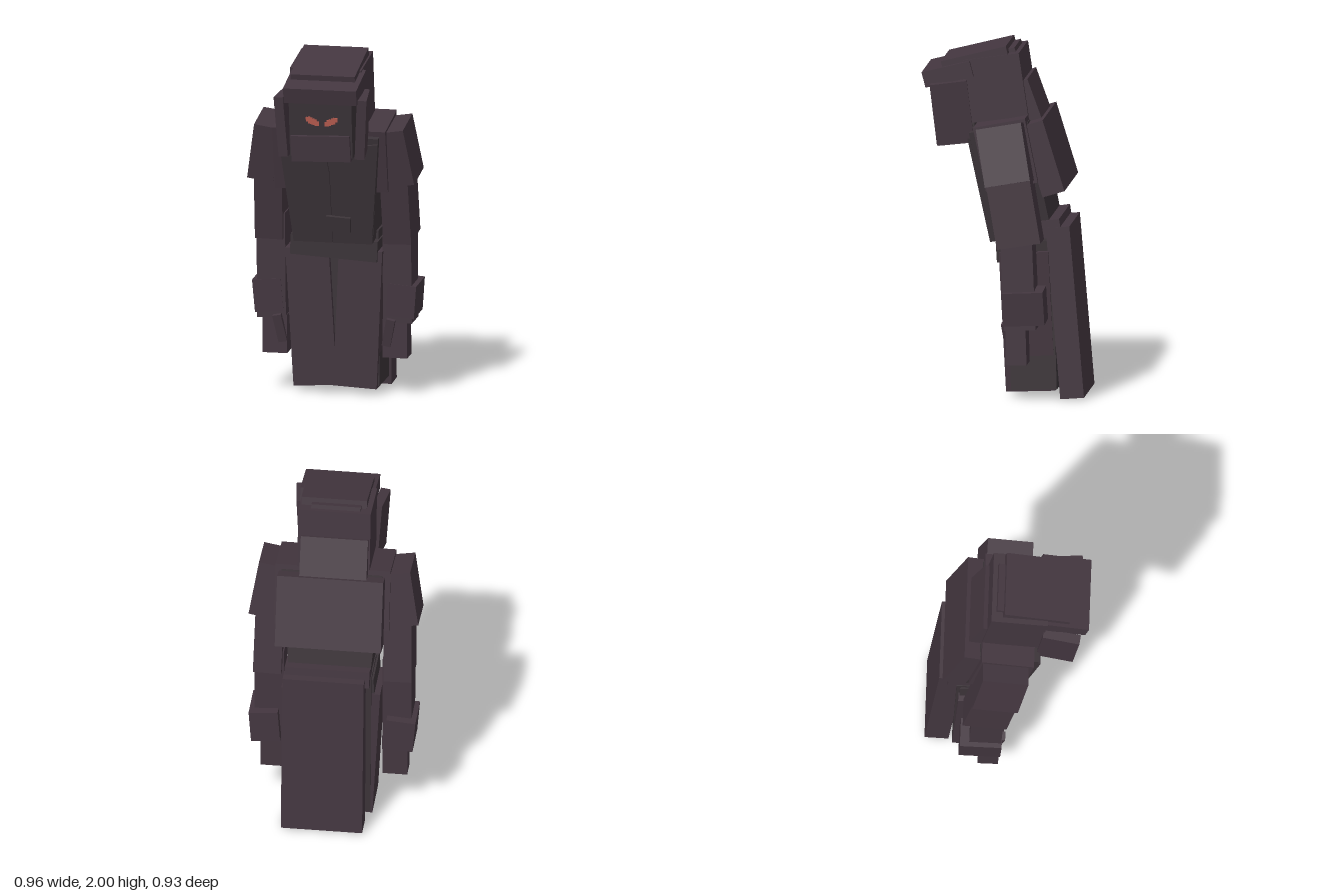
import * as THREE from 'three';

const mat = (name, color) => {
  const m = new THREE.MeshStandardMaterial({ color });
  m.name = name;
  return m;
};

export function createModel() {
  const model = new THREE.Group();
  model.name = 'hoodedFigure';
  const cloak = mat('dark plum cloak', 0x43363f);
  const vest = mat('charcoal vest', 0x3b3338);
  const glow = mat('dull red eyes', 0xb85c50);

  // Box with optional narrowing towards its lower end
  const box = (parent, name, m, size, pos, rot = [0, 0, 0], taper = 1) => {
    const g = new THREE.BoxGeometry(...size);
    const p = g.attributes.position;
    for (let i = 0; i < p.count; i++) if (p.getY(i) < 0) p.setX(i, p.getX(i) * taper);
    g.computeVertexNormals();
    const mesh = new THREE.Mesh(g, m);
    mesh.name = name;
    mesh.position.set(...pos);
    mesh.rotation.set(...rot);
    parent.add(mesh);
    return mesh;
  };
  const group = (name, pos, tilt) => {
    const g = new THREE.Group();
    g.name = name;
    g.position.set(...pos);
    g.rotation.x = tilt;
    model.add(g);
    return g;
  };

  // Head and hood
  box(model, 'skull', cloak, [0.41, 0.36, 0.32], [0.005, 1.765, 0.05], [0.15, 0, 0]);
  box(model, 'hoodTop', cloak, [0.37, 0.06, 0.38], [0.015, 1.927, 0.17], [0.25, 0, 0]);
  box(model, 'hoodCrest', cloak, [0.28, 0.12, 0.07], [0, 1.92, -0.03], [0.25, 0, 0]);
  box(model, 'hoodBrow', cloak, [0.42, 0.09, 0.28], [0.02, 1.84, 0.32], [0.25, 0, 0]);
  box(model, 'hoodBack', cloak, [0.38, 0.32, 0.07], [0, 1.655, -0.15], [0.35, 0, 0]);
  for (const s of [1, -1]) {
    box(model, 'hoodSide', cloak, [0.055, 0.35, 0.21], [0.012 + s * 0.217, 1.625, 0.295],
      [0.12, s * 0.12, -s * 0.06]);
  }
  const face = group('face', [0.008, 1.62, 0.28], 0.12);
  box(face, 'facePlate', vest, [0.36, 0.34, 0.2], [0, 0, 0]);
  box(face, 'mask', cloak, [0.34, 0.15, 0.22], [0, -0.115, 0.01], [0, 0, 0.03]);

  // Eyes made of stepped squares slanting towards the nose
  const px = 0.0125;
  for (const s of [1, -1]) {
    for (let i = 0; i < 6; i++) {
      const rows = i === 0 || i === 5 ? 2 : 3;
      box(face, 'eye', glow, [px, px * rows, 0.006],
        [s * (0.022 + i * px) + 0.008, 0.03 + i * 0.005, 0.103]);
    }
  }

  // Torso, leaning forward
  const torso = group('torso', [0.012, 1.24, -0.04], 0.2);
  box(torso, 'chest', vest, [0.57, 0.64, 0.34], [0, 0, 0], [0, 0, 0], 0.8);
  box(torso, 'yoke', cloak, [0.65, 0.37, 0.3], [-0.005, 0.165, -0.015]);
  // Coat front halves, parting in a small notch at the collar
  for (const s of [1, -1]) {
    const shape = new THREE.Shape([
      [0.025, 0.26], [0.285, 0.29], [0.225, -0.32], [0.002, -0.32], [0.002, 0.1],
    ].map(([x, y]) => new THREE.Vector2(s * x, y)));
    const flap = new THREE.Mesh(
      new THREE.ExtrudeGeometry(shape, { depth: 0.014, bevelEnabled: false }), vest);
    flap.name = 'coatFront';
    flap.position.z = 0.168 + (s > 0 ? 0.002 : 0);
    torso.add(flap);
  }
  box(torso, 'pocket', vest, [0.14, 0.09, 0.04], [0.04, -0.2, 0.185], [0, 0, -0.06]);
  box(model, 'backCape', cloak, [0.6, 0.42, 0.13], [0.012, 1.385, -0.23], [0.3, 0, 0]);

  // Waist and skirt of the coat
  box(model, 'waist', vest, [0.5, 0.12, 0.3], [0.01, 0.86, -0.11], [0.05, 0, -0.06]);
  box(model, 'backBelt', cloak, [0.48, 0.1, 0.14], [0.02, 0.975, -0.255], [0.15, 0, 0]);
  box(model, 'innerSkirt', vest, [0.48, 0.9, 0.26], [0.015, 0.505, -0.16], [0.03, 0, 0]);
  box(model, 'backSkirt', cloak, [0.46, 0.98, 0.135], [0.035, 0.5, -0.35], [0.085, 0, 0]);
  for (const s of [1, -1]) {
    box(model, 'skirtHalf', cloak, [0.25, 0.8, 0.28], [0.005 + s * 0.135, 0.45, -0.14 + s * 0.004],
      [0.045, 0, -s * 0.05]);
  }

  // Arms
  for (const s of [1, -1]) {
    const arm = group(s > 0 ? 'leftArm' : 'rightArm', [0, 0, 0], 0);
    const part = (name, size, [x, y, z], tilt, roll = 0) =>
      box(arm, name, cloak, size, [s * x, y, z], [tilt, 0, s * roll]);
    part('shoulderPad', [0.15, 0.33, 0.26], [0.38, 1.415, -0.025], 0.18, 0.16);
    part('upperArm', [0.16, 0.44, 0.25], [0.365, 1.12, -0.075], 0.17, 0.02);
    part('forearm', [0.165, 0.61, 0.18], [0.362, 0.73, -0.105], 0.04);
    part('cuff', [0.165, 0.19, 0.235], [0.382, 0.555, -0.137], 0.05, -0.08);
    part('hand', [0.14, 0.22, 0.115], [0.345, 0.33, -0.092], 0.03);
    part('thumb', [0.05, 0.16, 0.08], [0.312, 0.37, -0.05], 0.15, -0.2);
  }
  return model;
}
